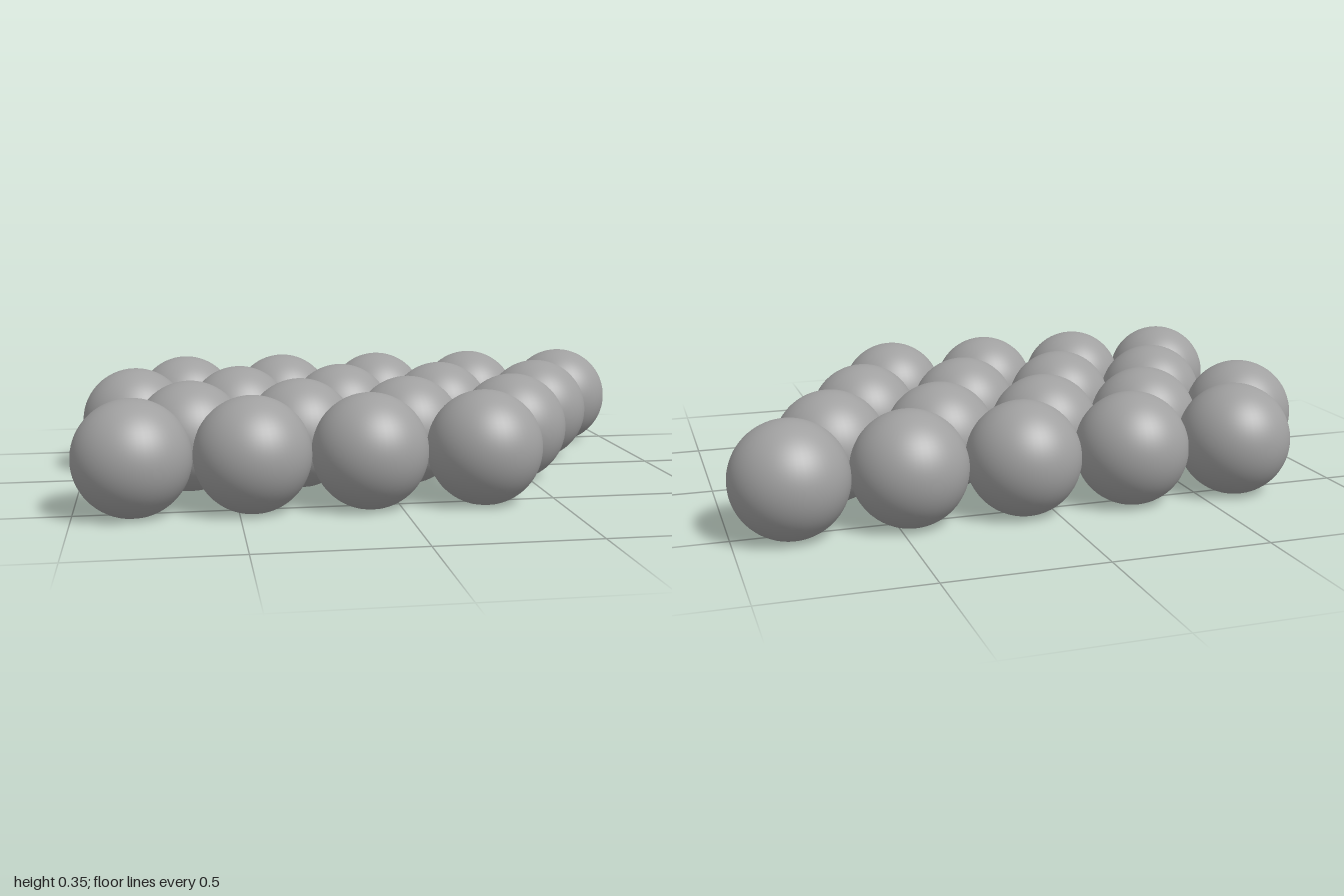
import * as THREE from 'three';

const R = 2 / 11;      // ball radius
const CENTER_Y = 0.172; // slightly below R, so each ball rests on a flat foot

export function createModel() {
  const group = new THREE.Group();
  group.name = 'ballCluster';

  const grey = new THREE.MeshStandardMaterial({ color: 0xa0a0a0 });
  grey.name = 'grey';

  // Ball cut off by the ground plane, closed by a flat disc
  const cut = Math.acos(-CENTER_Y / R);
  const ballGeo = new THREE.SphereGeometry(R, 48, 32, 0, Math.PI * 2, 0, cut);
  const footGeo = new THREE.CircleGeometry(R * Math.sin(cut), 48).rotateX(Math.PI / 2);

  // Staggered rows from back to front
  const rows = [
    { name: 'backRow', z: -0.5, shift: 1, count: 5 },
    { name: 'middleBackRow', z: -0.184, shift: 0, count: 5 },
    { name: 'middleFrontRow', z: 0.159, shift: 1, count: 4 },
    { name: 'frontRow', z: 0.5, shift: 0, count: 4 },
  ];

  for (const { name, z, shift, count } of rows) {
    const row = new THREE.Group();
    row.name = name;
    for (let i = 0; i < count; i++) {
      const x = -1 + R * (1 + shift + 2 * i);
      const ball = new THREE.Mesh(ballGeo, grey);
      ball.name = 'ball';
      ball.position.set(x, CENTER_Y, z);
      const foot = new THREE.Mesh(footGeo, grey);
      foot.name = 'flatFoot';
      foot.position.set(x, 0, z);
      row.add(ball, foot);
    }
    group.add(row);
  }
  return group;
}
